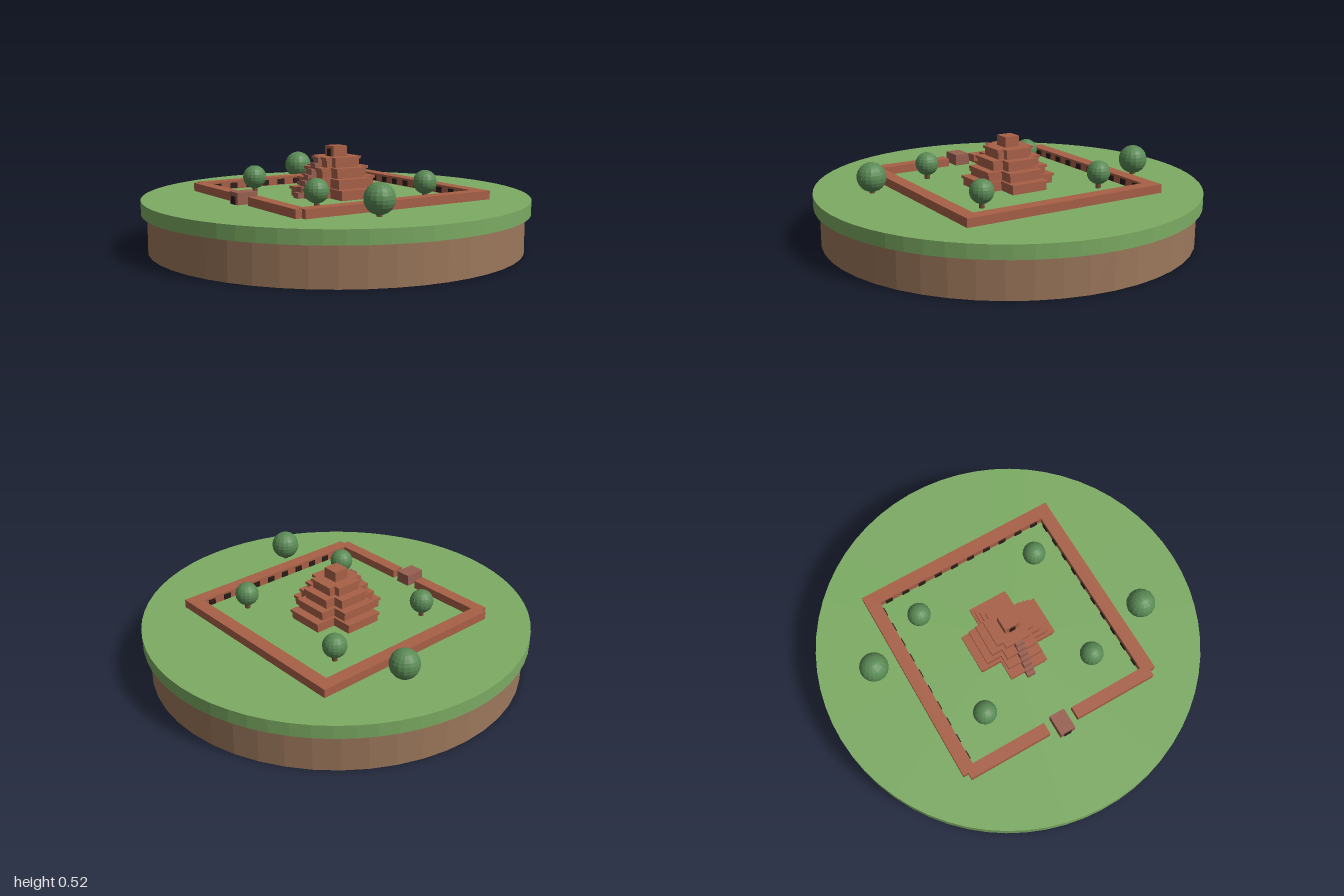
import * as THREE from 'three';

const mat = (name, color, flatShading = true) => {
  const m = new THREE.MeshStandardMaterial({ color, flatShading });
  m.name = name;
  return m;
};

export function createModel() {
  const grass = mat('grass', 0x7cab63);
  const soil = mat('soil', 0x9c775b);
  const brick = mat('brick', 0xa86047);
  const paleBrick = mat('weatheredBrick', 0x985f50);
  const dark = mat('darkOpening', 0x2a1c17);
  const foliage = mat('foliage', 0x5a8a55);
  const bark = mat('bark', 0x6b4a33);

  const model = new THREE.Group();
  const G = 0.267; // ground level

  const add = (parent, name, geometry, material, x, y, z) => {
    const mesh = new THREE.Mesh(geometry, material);
    mesh.name = name;
    mesh.position.set(x, y, z);
    parent.add(mesh);
    return mesh;
  };
  // box given by its bottom and top heights
  const box = (parent, name, m, w, d, y0, y1, x = 0, z = 0) =>
    add(parent, name, new THREE.BoxGeometry(w, y1 - y0, d), m, x, (y0 + y1) / 2, z);

  // round island
  add(model, 'soilBase', new THREE.CylinderGeometry(0.97, 0.97, 0.2, 48), soil, 0, 0.1, 0);
  add(model, 'lawn', new THREE.CylinderGeometry(1, 1, 0.07, 64), grass, 0, G - 0.035, 0);

  // walled compound, turned on the island
  const compound = new THREE.Group();
  compound.name = 'compound';
  compound.rotation.y = -THREE.MathUtils.degToRad(20);
  model.add(compound);

  const wallTop = 0.311;
  box(compound, 'backWall', brick, 1.12, 0.07, G, wallTop, 0, -0.525);
  for (const s of [-1, 1]) {
    box(compound, 'sideWall', brick, 0.07, 1.055, G, wallTop, s * 0.525, -0.0);
    box(compound, 'frontWall', brick, 0.45, 0.064, G, wallTop - 0.001, s * 0.306, 0.528);
  }

  // dark openings along the inner faces of three walls
  for (let i = 0; i < 10; i++) {
    const t = -0.44 + i * 0.098;
    box(compound, 'backOpening', dark, 0.04, 0.008, G + 0.004, 0.3, t, -0.488);
    for (const s of [-1, 1])
      box(compound, 'sideOpening', dark, 0.008, 0.04, G + 0.004, 0.3, s * 0.488, t);
  }

  // gatehouse
  box(compound, 'gatehouse', paleBrick, 0.082, 0.11, G, 0.327, 0, 0.541);
  box(compound, 'gateDoor', dark, 0.04, 0.006, G, 0.307, 0, 0.597);

  // stepped temple: cross-shaped tiers, each with an overhanging cornice
  const temple = new THREE.Group();
  temple.name = 'temple';
  compound.add(temple);
  const cross = (name, len, arm, y0, y1) => {
    box(temple, name, brick, 2 * len, 2 * arm, y0, y1);
    for (const s of [-1, 1])
      box(temple, name, brick, 2 * arm, len - arm, y0, y1, 0, s * (len + arm) / 2);
  };
  const tiers = [ // half length, half arm width, top height
    [0.209, 0.1, 0.318],
    [0.17, 0.092, 0.368],
    [0.135, 0.08, 0.42],
    [0.098, 0.066, 0.471],
  ];
  let y = G;
  for (const [len, arm, top] of tiers) {
    cross('tierBody', len, arm, y, top - 0.014);
    cross('tierCornice', len + 0.008, arm + 0.006, top - 0.014, top);
    y = top;
  }
  box(temple, 'topShrine', brick, 0.082, 0.082, y, 0.525);
  box(temple, 'shrineDoor', dark, 0.032, 0.006, y, 0.51, 0, 0.042);

  // stairway up the front
  for (let i = 0; i < 7; i++)
    box(temple, 'stairStep', paleBrick, 0.045, 0.022, G, G + 0.029 * (i + 1), 0, 0.232 - i * 0.02);

  // round trees: x, z, radius
  const trees = [
    [-0.58, -0.4, 0.075], [0.565, 0.425, 0.075],
    [-0.22, -0.415, 0.061], [0.43, -0.18, 0.061],
    [-0.4, 0.185, 0.061], [0.185, 0.4, 0.061],
  ];
  for (const [x, z, r] of trees) {
    add(model, 'treeTrunk', new THREE.CylinderGeometry(0.012, 0.014, 0.06, 8), bark, x, G + 0.03, z);
    add(model, 'treeCrown', new THREE.SphereGeometry(r, 16, 12), foliage, x, 0.349, z);
  }
  return model;
}
